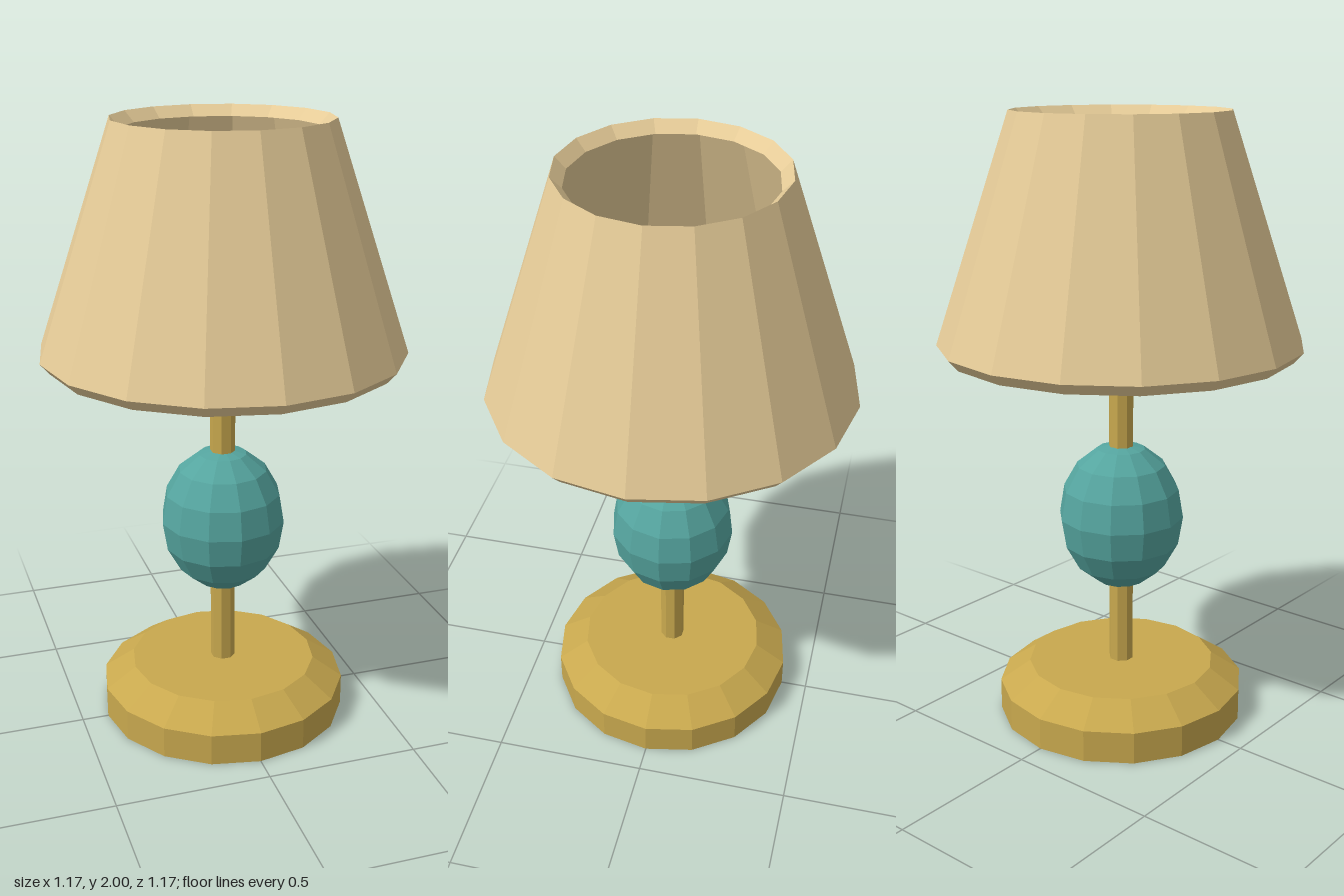
import * as THREE from 'three';

const paint = (name, color) => {
  const m = new THREE.MeshStandardMaterial({ color, flatShading: true });
  m.name = name;
  return m;
};

const lathe = (points, sides) =>
  new THREE.LatheGeometry(points.map(([r, y]) => new THREE.Vector2(r, y)), sides);

export function createModel() {
  const lamp = new THREE.Group();
  lamp.name = 'tableLamp';

  const brass = paint('brass', 0xc8a84e);
  const teal = paint('tealCeramic', 0x55a59f);
  const fabric = paint('shadeFabric', 0xe6cc98);
  fabric.side = THREE.DoubleSide;
  const glass = paint('bulbGlass', 0xefe6cb);

  const add = (name, geometry, material, y = 0) => {
    const mesh = new THREE.Mesh(geometry, material);
    mesh.name = name;
    mesh.position.y = y;
    lamp.add(mesh);
    return mesh;
  };

  // Round foot with a bevelled top edge
  add('base', lathe([[0, 0], [0.412, 0], [0.412, 0.105], [0.312, 0.173], [0, 0.173]], 16), brass);

  // Thin stem running from the foot up to just below the bulb, flat side forward
  const stemBottom = 0.15, stemTop = 1.365;
  add('stem', new THREE.CylinderGeometry(0.041, 0.041, stemTop - stemBottom, 8), brass,
    (stemBottom + stemTop) / 2).rotation.y = Math.PI / 8;

  // Egg-shaped ceramic body threaded on the stem
  add('body', new THREE.SphereGeometry(0.207, 12, 8), teal, 0.691).scale.y = 0.248 / 0.207;

  // Faceted bulb inside the shade
  add('bulb', new THREE.SphereGeometry(0.138, 8, 5), glass, 1.546);

  // Open, single-walled conical shade with lips folded in at both rims
  add('shade', lathe([[0.556, 1.242], [0.587, 1.277], [0.345, 2], [0.311, 1.965]], 16), fabric);

  return lamp;
}
